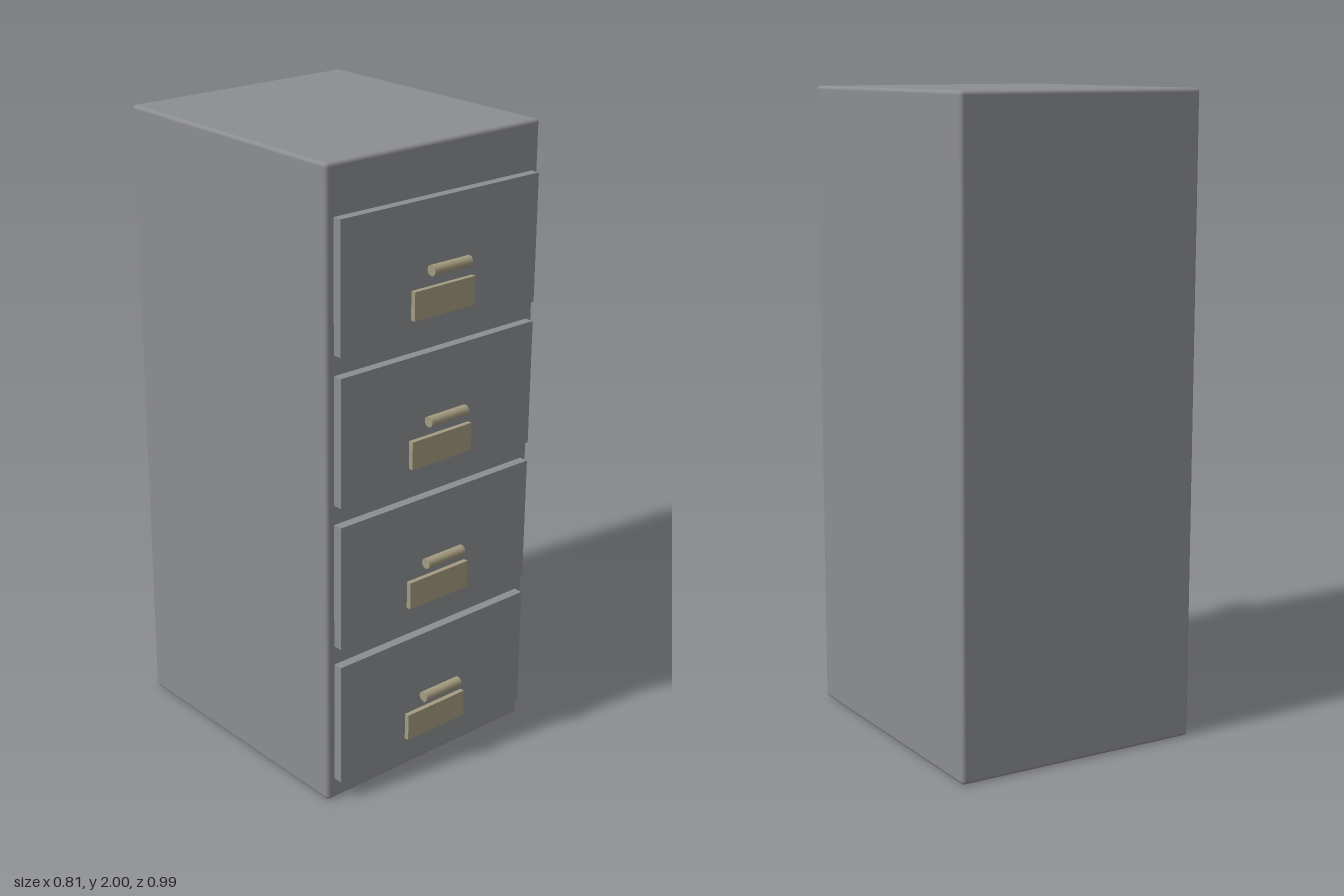
import * as THREE from 'three';
import { RoundedBoxGeometry } from 'three/addons/geometries/RoundedBoxGeometry.js';

export function createModel() {
  const model = new THREE.Group();
  model.name = 'filingCabinet';

  const steel = new THREE.MeshStandardMaterial({ color: 0x8c8d91 });
  const brass = new THREE.MeshStandardMaterial({ color: 0xa39a80 });

  const add = (parent, name, geometry, material, x, y, z) => {
    const mesh = new THREE.Mesh(geometry, material);
    mesh.name = name;
    mesh.position.set(x, y, z);
    parent.add(mesh);
    return mesh;
  };

  // Cabinet body with slightly softened edges
  add(model, 'cabinetBody', new RoundedBoxGeometry(0.812, 2, 0.914, 3, 0.012), steel, 0, 1, -0.04);

  // Shared drawer parts
  const frontGeometry = new THREE.BoxGeometry(0.757, 0.398, 0.04);
  const labelGeometry = new THREE.BoxGeometry(0.236, 0.088, 0.022);
  const handleGeometry = new THREE.CylinderGeometry(0.0165, 0.0165, 0.147, 24);
  handleGeometry.rotateZ(Math.PI / 2);

  // Four identical drawers, bottom to top
  for (let i = 0; i < 4; i++) {
    const drawer = new THREE.Group();
    drawer.name = `drawer${i + 1}`;
    drawer.position.y = 0.27 + i * 0.46;
    add(drawer, 'drawerFront', frontGeometry, steel, 0, 0, 0.427);
    add(drawer, 'labelPlate', labelGeometry, brass, 0, -0.103, 0.452);
    add(drawer, 'handle', handleGeometry, brass, 0, 0, 0.4805);
    model.add(drawer);
  }

  return model;
}
